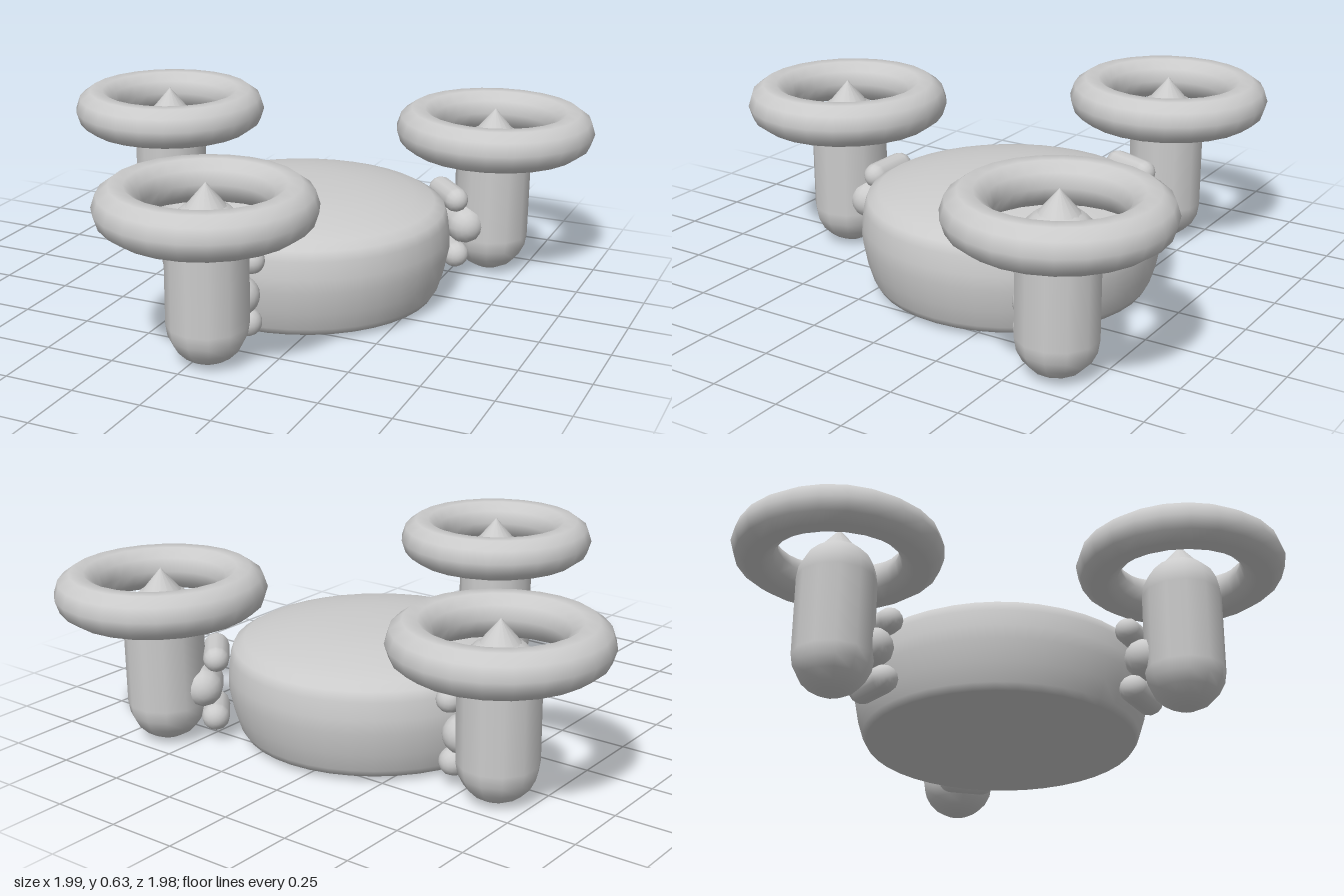
import * as THREE from 'three';

const material = new THREE.MeshStandardMaterial({ color: 0xcccccc });

function add(parent, name, geometry, x = 0, y = 0, z = 0) {
  const mesh = new THREE.Mesh(geometry, material);
  mesh.name = name;
  mesh.position.set(x, y, z);
  parent.add(mesh);
  return mesh;
}

export function createModel() {
  const model = new THREE.Group();
  model.name = 'threeRotorDrone';
  const centre = { x: 0.065, z: -0.115 };

  // Domed body with a flat underside
  const profile = [
    [0, 0.02], [0.485, 0.02], [0.5, 0.045], [0.52, 0.11], [0.535, 0.19],
    [0.533, 0.24], [0.525, 0.3], [0.512, 0.335], [0.475, 0.356], [0.4, 0.378],
    [0.3, 0.398], [0.2, 0.41], [0.1, 0.415], [0, 0.416],
  ].map(([r, y]) => new THREE.Vector2(r, y));
  add(model, 'body', new THREE.LatheGeometry(profile, 40), centre.x, 0, centre.z);

  const podGeometry = new THREE.CapsuleGeometry(0.14, 0.29, 5, 12);
  const spinnerGeometry = new THREE.ConeGeometry(0.085, 0.1, 16);
  const ringGeometry = new THREE.TorusGeometry(0.29, 0.08, 10, 24).rotateX(Math.PI / 2);

  // Rounded joint bars lying across each arm: height, distance inside the pod axis, radius, length
  const bars = [
    ['upperJoint', 0.31, 0.18, 0.046, 0.14],
    ['middleJoint', 0.2, 0.13, 0.07, 0.1],
    ['lowerJoint', 0.09, 0.17, 0.05, 0.12],
  ];

  for (const [side, x, z] of [['front', 0.045, 0.62], ['right', -0.63, -0.375], ['left', 0.62, -0.625]]) {
    // Each rotor unit has its local +z pointing away from the body
    const unit = new THREE.Group();
    unit.name = side + 'RotorUnit';
    unit.position.set(x, 0, z);
    unit.rotation.y = Math.atan2(x - centre.x, z - centre.z);
    model.add(unit);

    add(unit, 'motorPod', podGeometry, 0, 0.285, 0);
    add(unit, 'spinner', spinnerGeometry, 0, 0.58, 0);
    add(unit, 'guardRing', ringGeometry, 0, 0.55, 0);
    for (const [name, y, inset, radius, length] of bars) {
      const bar = new THREE.CapsuleGeometry(radius, length, 5, 12).rotateZ(Math.PI / 2);
      add(unit, name, bar, 0, y, -inset);
    }
  }
  return model;
}
